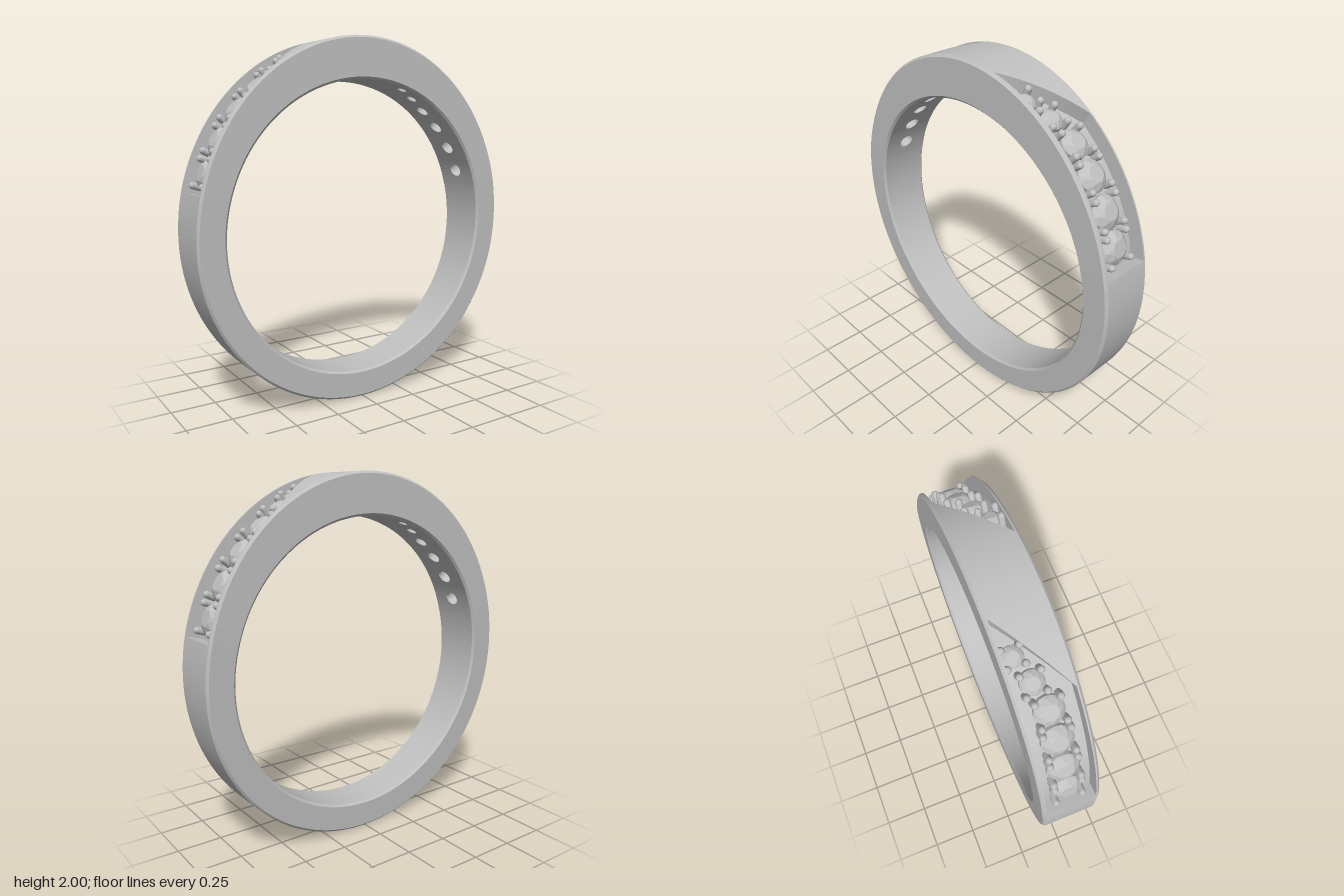
import * as THREE from 'three';

const CY = 0.967, RI = 0.807, AX = 0.96, BY = 1.033; // ring centre height, bore radius, upper half-axes
const C = 0.012, W = 0.152;                          // bevel, half width at the top
const ZE = W - C, ZC = 0.132, DEPTH = 0.075;         // skin edge, channel half width, channel depth
const rad = THREE.MathUtils.degToRad, lerp = THREE.MathUtils.lerp;
const A0 = rad(14), TOP = Math.PI / 2;

// stones of one channel: angle in degrees, sideways offset, radius
const STONES = [[21, 0, 0.085], [32, 0, 0.085], [43, 0, 0.082], [53, 0, 0.075], [62, 0.035, 0.06], [70, 0.08, 0.052]];
const BOUNDS = [14, 26.5, 37.5, 48, 57.5, 66, 76].map(rad);

const outer = a => 1 / Math.hypot(Math.cos(a) / AX, Math.sin(a) / (a > 0 ? BY : CY));
const floorR = a => outer(a) - DEPTH;
const bore = () => RI;
const point = (a, r, z) => [r * Math.cos(a), CY + r * Math.sin(a), z];
const halfWidth = y => W - 0.035 * THREE.MathUtils.clamp((1.2 - y) / 1.2, 0, 1);
const skinPoint = (a, r, v) => point(a, r, v * (halfWidth(CY + r * Math.sin(a)) - C));
// angle of the slanted channel end for a given z
const slant = z => {
  const x = 0.355 - z * 1.393;
  return Math.atan2(BY * Math.sqrt(1 - (x / AX) ** 2), x);
};

// surface patch over u, v in 0..1
function grid(fn, nu, nv, flip = false) {
  const pos = [], idx = [];
  for (let i = 0; i <= nu; i++) for (let j = 0; j <= nv; j++) pos.push(...fn(i / nu, j / nv));
  for (let i = 0; i < nu; i++) for (let j = 0; j < nv; j++) {
    const p = i * (nv + 1) + j, q = p + nv + 1;
    if (flip) idx.push(p, q + 1, q, p, p + 1, q + 1);
    else idx.push(p, q, q + 1, p, q + 1, p + 1);
  }
  const g = new THREE.BufferGeometry();
  g.setAttribute('position', new THREE.Float32BufferAttribute(pos, 3));
  g.setIndex(idx);
  g.computeVertexNormals();
  return g;
}

// faceted crown of a round-cut stone, unit radius, open below
function crownGeometry() {
  const ring = (k, r, y) => [r * Math.sin(k * Math.PI / 8), y, r * Math.cos(k * Math.PI / 8)];
  const G = k => ring(k, 1, 0), S = i => ring(2 * i, 0.8, 0.22), T = i => ring(2 * i + 1, 0.52, 0.38);
  const pos = [];
  const tri = (...pts) => pts.forEach(p => pos.push(...p));
  for (let i = 0; i < 8; i++) {
    tri([0, 0.38, 0], T(i), T(i + 1));
    tri(T(i), S(i + 1), T(i + 1));
    tri(T(i), S(i), G(2 * i + 1));
    tri(T(i), G(2 * i + 1), S(i + 1));
    tri(S(i), G(2 * i), G(2 * i + 1));
    tri(S(i), G(2 * i - 1), G(2 * i));
  }
  const g = new THREE.BufferGeometry();
  g.setAttribute('position', new THREE.Float32BufferAttribute(pos, 3));
  g.computeVertexNormals();
  return g;
}

export function createModel() {
  const silver = new THREE.MeshStandardMaterial({ color: 0xc0c0c0 });
  silver.name = 'silver grey';
  const half = new THREE.Group();
  half.name = 'ringHalf';
  const add = (name, geometry, parent = half) => {
    const m = new THREE.Mesh(geometry, silver);
    m.name = name;
    parent.add(m);
    return m;
  };

  // side faces with inner and outer bevels
  const profile = [[0, 0, C], [0, C, 0], [1, -C, 0], [1, 0, C]];
  for (const s of [1, -1]) for (let k = 0; k < 3; k++) {
    add(k === 1 ? 'sideFace' : 'bevel', grid((u, v) => {
      const a = lerp(-TOP, TOP, u);
      const [p, q] = [profile[k], profile[k + 1]].map(([o, dr, inset]) => {
        const r = (o ? outer(a) : RI) + dr;
        return [r, halfWidth(CY + r * Math.sin(a)) - inset];
      });
      return point(a, lerp(p[0], q[0], v), s * lerp(p[1], q[1], v));
    }, 90, 1, s > 0));
  }

  // outer skin: lower shank and slanted top plate
  add('shankSkin', grid((u, v) => {
    const a = lerp(-TOP, A0, u);
    return skinPoint(a, outer(a), 2 * v - 1);
  }, 54, 4));
  add('topPlate', grid((u, v) => {
    const z = ZE * (2 * v - 1), a = lerp(slant(z), TOP, u);
    return point(a, outer(a), z);
  }, 24, 16));

  // smooth parts of the bore
  for (const [from, to, n] of [[-TOP, A0, 54], [BOUNDS[6], TOP, 8]]) {
    add('boreSkin', grid((u, v) => skinPoint(lerp(from, to, u), RI, 2 * v - 1), n, 4, true));
  }

  // channel walls and thin rims
  for (const s of [1, -1]) {
    add('channelWall', grid((u, v) => {
      const a = lerp(A0, slant(s * ZC), u);
      return point(a, lerp(floorR(a), outer(a), v), s * ZC);
    }, 40, 1, s < 0));
    const [z0, z1] = s > 0 ? [ZC, ZE] : [-ZE, -ZC];
    add('channelRim', grid((u, v) => {
      const z = lerp(z0, z1, v), a = lerp(A0, slant(z), u);
      return point(a, outer(a), z);
    }, 40, 1));
  }
  add('channelStep', grid((u, v) => point(A0, lerp(floorR(A0), outer(A0), v), ZC * (2 * u - 1)), 4, 1));
  add('slantedWall', grid((u, v) => {
    const z = ZC * (2 * u - 1), a = slant(z);
    return point(a, lerp(floorR(a), outer(a), v), z);
  }, 16, 1, true));

  // square cell pierced by a round hole, bent onto a radius
  const N = 40;
  const holeCell = (k, zMax, bound, radius, flip) => {
    const [deg, cz, gemR] = STONES[k], ca = rad(deg), hr = gemR * 0.5;
    return grid((u, v) => {
      const t = (u * 4) % 4, side = Math.floor(t + 1e-9), f = 2 * (t - side) - 1;
      const [su, sv] = [[1, f], [-f, 1], [-1, -f], [f, -1]][side];
      const z = sv * zMax;
      const a = lerp(bound(k, z), bound(k + 1, z), (su + 1) / 2);
      const da = (a - ca) * 0.85, dz = z - cz, d = Math.hypot(da, dz);
      const ha = ca + da / d * hr / 0.85, hz = cz + dz / d * hr;
      const pa = lerp(ha, a, v);
      return point(pa, radius(pa), lerp(hz, z, v));
    }, N, 3, flip);
  };
  const straight = k => BOUNDS[k];
  const slanted = (k, z) => k === 6 ? slant(z) : Math.min(BOUNDS[k], slant(z));

  const crown = crownGeometry();
  const girdle = new THREE.CylinderGeometry(1, 1, 1, 16, 1, true);
  const prong = new THREE.CapsuleGeometry(0.018, 0.04, 5, 10);

  STONES.forEach(([deg, z, r], k) => {
    const a = rad(deg), hr = r * 0.5;
    add('boreCell', holeCell(k, ZE, straight, bore, false));
    add('channelFloor', holeCell(k, ZC, slanted, floorR, true));
    add('lightHole', grid((u, v) => {
      const t = u * 2 * Math.PI, ha = a + Math.cos(t) * hr / 0.85;
      return point(ha, lerp(RI, floorR(ha), v), z + Math.sin(t) * hr);
    }, 24, 1, true));

    // stone with four bead-topped prongs, standing on the surface normal
    const setting = new THREE.Group();
    setting.name = 'stoneSetting';
    setting.position.set(...point(a, outer(a) - 0.056, z));
    setting.rotation.z = Math.atan2(Math.sin(a) / BY ** 2, Math.cos(a) / AX ** 2) - TOP;
    add('stone', crown, setting).scale.setScalar(r);
    const belt = add('stoneGirdle', girdle, setting);
    belt.scale.set(r, 0.022, r);
    belt.position.y = -0.011;
    for (const sx of [1, -1]) for (const sz of [1, -1]) {
      add('prong', prong, setting).position.set(sx * r * 0.82, 0.006, sz * r * 0.82);
    }
    half.add(setting);
  });

  // the other half is the same, turned half way round
  const other = half.clone();
  other.rotation.y = Math.PI;
  const ring = new THREE.Group();
  ring.name = 'ring';
  ring.add(half, other);
  return ring;
}
